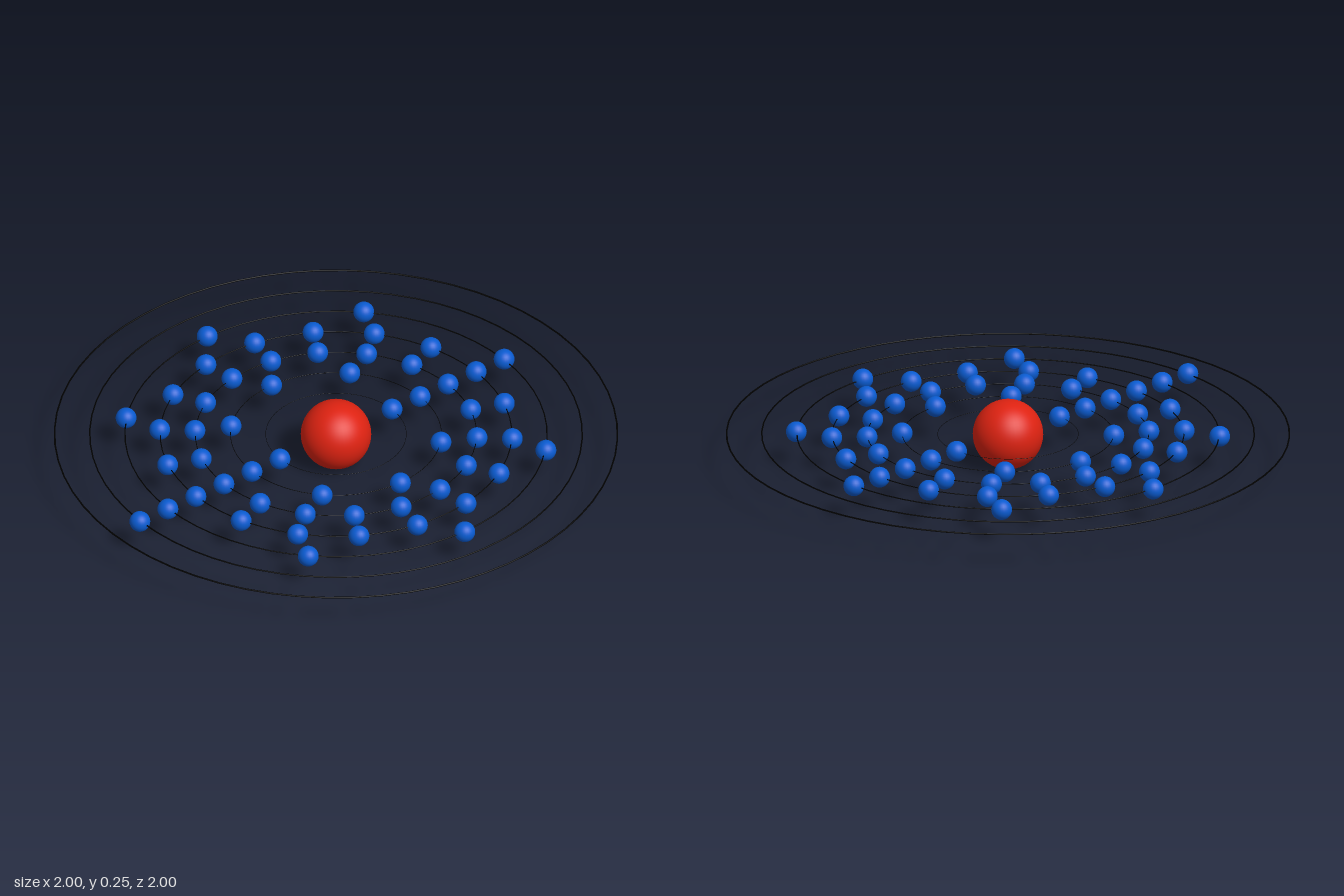
import * as THREE from 'three';

const CENTRE_Y = 0.125;
// Electrons on each shell, innermost first; the outermost orbit is empty
const SHELLS = [2, 8, 18, 18, 8, 1, 0];

export function createModel() {
  const model = new THREE.Group();
  model.name = 'atom';

  const red = new THREE.MeshStandardMaterial({ color: 0xdd2211 });
  const blue = new THREE.MeshStandardMaterial({ color: 0x0a5bd0 });
  const black = new THREE.MeshStandardMaterial({ color: 0x000000 });

  // Nucleus
  const nucleus = new THREE.Mesh(new THREE.SphereGeometry(0.125, 48, 32), red);
  nucleus.name = 'nucleus';
  nucleus.position.y = CENTRE_Y;
  model.add(nucleus);

  const electronGeometry = new THREE.SphereGeometry(0.037, 24, 16);

  SHELLS.forEach((count, i) => {
    const radius = (i + 2) / 8;
    const shell = new THREE.Group();
    shell.name = `shell${i + 1}`;
    shell.position.y = CENTRE_Y;

    // Thin orbit ring, its thickness growing with the radius
    const tube = 0.003 * radius;
    const orbit = new THREE.Mesh(new THREE.TorusGeometry(radius - tube, tube, 8, 64), black);
    orbit.name = 'orbit';
    orbit.rotation.x = Math.PI / 2;
    shell.add(orbit);

    // Evenly spaced electrons, the first one at the front
    for (let k = 0; k < count; k++) {
      const angle = (k / count) * Math.PI * 2;
      const electron = new THREE.Mesh(electronGeometry, blue);
      electron.name = 'electron';
      electron.position.set(radius * Math.sin(angle), 0, radius * Math.cos(angle));
      shell.add(electron);
    }
    model.add(shell);
  });

  return model;
}
